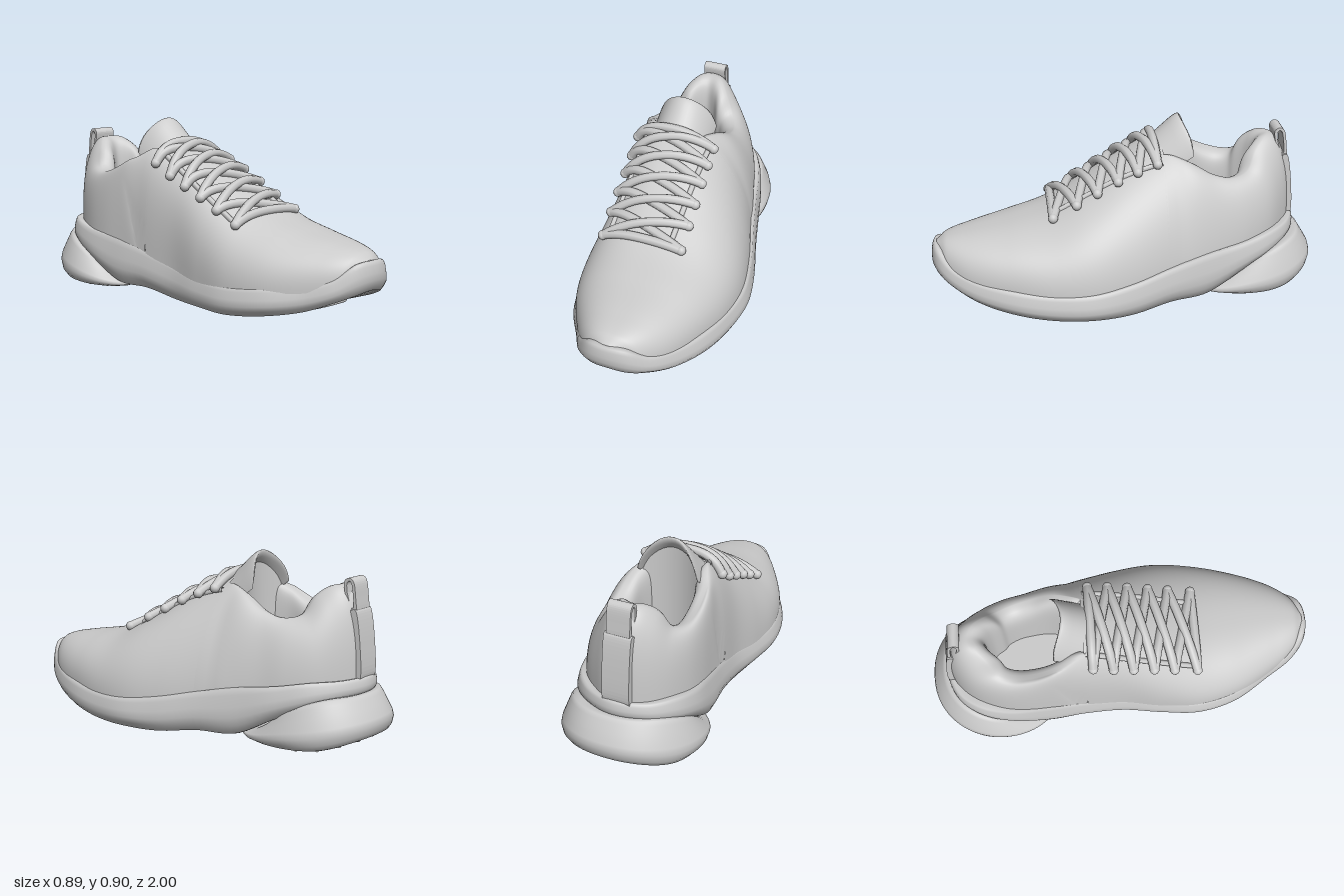
import * as THREE from 'three';
import { mergeVertices } from 'three/addons/utils/BufferGeometryUtils.js';

const material = new THREE.MeshStandardMaterial({ color: 0xcccccc, side: THREE.DoubleSide });
const V = (x, y, z) => new THREE.Vector3(x, y, z);
const { lerp, smoothstep, clamp } = THREE.MathUtils;

// Smooth interpolation through [key, value, value, ...] rows, keys ascending
function table(rows) {
  const slope = (i, c) => {
    const a = rows[Math.max(i - 1, 0)], b = rows[Math.min(i + 1, rows.length - 1)];
    return (b[c] - a[c]) / (b[0] - a[0]);
  };
  return (k, c = 1) => {
    k = clamp(k, rows[0][0], rows[rows.length - 1][0]);
    let i = 0;
    while (i < rows.length - 2 && k > rows[i + 1][0]) i++;
    const h = rows[i + 1][0] - rows[i][0], t = (k - rows[i][0]) / h, t2 = t * t, t3 = t2 * t;
    return (2 * t3 - 3 * t2 + 1) * rows[i][c] + (t3 - 2 * t2 + t) * h * slope(i, c)
      + (3 * t2 - 2 * t3) * rows[i + 1][c] + (t3 - t2) * h * slope(i + 1, c);
  };
}

// Smooth surface from a point function over u, v in 0..1
function grid(fn, nu, nv) {
  const pos = [], idx = [];
  for (let i = 0; i <= nu; i++) for (let j = 0; j <= nv; j++) pos.push(...fn(i / nu, j / nv).toArray());
  for (let i = 0; i < nu; i++) for (let j = 0; j < nv; j++) {
    const a = i * (nv + 1) + j, b = a + nv + 1;
    idx.push(a, b, a + 1, b, b + 1, a + 1);
  }
  let g = new THREE.BufferGeometry();
  g.setAttribute('position', new THREE.Float32BufferAttribute(pos, 3));
  g.setIndex(idx);
  g = mergeVertices(g, 1e-5);
  g.computeVertexNormals();
  return g;
}

// Upper sections by z: left, right, centre x, top, base, left and right roundness
const vamp = table([
  [-0.25, -0.345, 0.3, -0.1, 0.8, 0.17, 3.5, 1.85],
  [-0.2, -0.345, 0.318, -0.1, 0.79, 0.17, 3.5, 1.85],
  [0, -0.335, 0.38, -0.08, 0.695, 0.15, 3, 1.9],
  [0.2, -0.36, 0.415, -0.065, 0.575, 0.13, 2.6, 2.1],
  [0.4, -0.37, 0.4, -0.04, 0.465, 0.13, 2.4, 2.3],
  [0.6, -0.325, 0.345, 0, 0.41, 0.15, 2.4, 2.4],
  [0.8, -0.22, 0.26, 0.02, 0.375, 0.17, 2.4, 2.4],
  [0.92, -0.13, 0.165, 0.02, 0.347, 0.2, 2.4, 2.4],
  [0.965, -0.06, 0.09, 0.015, 0.315, 0.2, 2.4, 2.4]]);

function vampHeight(x, z) {
  const c = vamp(z, 3), left = x < c, n = vamp(z, left ? 6 : 7);
  const d = Math.min(Math.abs((x - c) / (vamp(z, left ? 1 : 2) - c)), 1);
  return vamp(z, 5) + (vamp(z, 4) - vamp(z, 5)) * (1 - d ** n) ** (1 / n);
}

const vampGeometry = () => grid((u, v) => {
  const z = lerp(-0.19, 0.972, 1 - (1 - u) ** 1.4);
  const c = vamp(z, 3), left = v < 0.5, e = 2 / vamp(z, left ? 6 : 7);
  const a = Math.PI * v, cs = Math.abs(Math.cos(a)) ** e, sn = Math.max(Math.sin(a), 0) ** e;
  const k = u === 1 ? 0.3 : 1;
  return V(c + (vamp(z, left ? 1 : 2) - c) * cs * k, lerp(vamp(z, 5), vamp(z, 4), sn * k), z);
}, 70, 56);

// Rear quarter: outer wall, rolled padded rim and inner lining, swept round the heel
function collarGeometry() {
  const base = new THREE.CatmullRomCurve3([
    [-0.343, 0.17, -0.18], [-0.358, 0.2, -0.35], [-0.368, 0.24, -0.5], [-0.355, 0.28, -0.62], [-0.31, 0.3, -0.74],
    [-0.25, 0.31, -0.82], [-0.18, 0.32, -0.87], [-0.12, 0.32, -0.88], [-0.05, 0.32, -0.87], [0.03, 0.31, -0.82],
    [0.12, 0.3, -0.74], [0.19, 0.28, -0.62], [0.23, 0.24, -0.5], [0.28, 0.2, -0.35], [0.322, 0.17, -0.18],
  ].map(p => V(...p)));
  const rim = new THREE.CatmullRomCurve3([
    [-0.24, 0.77, -0.18], [-0.3, 0.7, -0.32], [-0.31, 0.635, -0.44], [-0.3, 0.61, -0.54], [-0.275, 0.63, -0.62],
    [-0.235, 0.715, -0.665], [-0.18, 0.765, -0.72], [-0.12, 0.77, -0.745], [-0.06, 0.765, -0.72], [-0.005, 0.715, -0.665],
    [0.045, 0.63, -0.62], [0.085, 0.61, -0.54], [0.1, 0.635, -0.44], [0.09, 0.7, -0.32], [0.04, 0.75, -0.18],
  ].map(p => V(...p)));
  const round = table([[0, 2.7], [0.15, 3.2], [0.3, 2.9], [0.5, 2.4], [0.7, 2.2], [0.85, 1.75], [1, 1.45]]);
  return grid((u, v) => {
    const B = base.getPoint(u), R = rim.getPoint(u), t = 1 - v;
    const join = smoothstep(Math.abs(u - 0.5), 0.42, 0.5);
    R.y = lerp(R.y, vampHeight(R.x, R.z), join);
    if (t <= 0.6) {
      const a = t / 0.6 * Math.PI / 2, e = 2 / round(u);
      const c = Math.max(Math.cos(a), 0) ** e, s = Math.sin(a) ** e, x = lerp(R.x, B.x, c);
      return V(x, lerp(lerp(B.y, R.y, s), vampHeight(x, R.z), join), lerp(R.z, B.z, c));
    }
    const w = (t - 0.6) / 0.4;
    const dir = V(-0.11 - R.x, 0, -0.47 - R.z).normalize().multiplyScalar(0.075 * (1 - (1 - w) ** 6));
    return V(R.x + dir.x, lerp(R.y, 0.27, w ** 1.5), R.z + dir.z);
  }, 90, 50);
}

// Sole block: outline points [x, z, top, bottom]; rows [x scale, z scale, height] from bottom to top
function soleGeometry(outline, rows, spine, cz, n) {
  const edge = new THREE.CatmullRomCurve3(outline.map(p => V(p[0], p[2], p[1])), true);
  const low = new THREE.CatmullRomCurve3(outline.map(p => V(p[0], p[3], p[1])), true);
  return grid((u, v) => {
    const P = edge.getPoint(u % 1), y0 = low.getPoint(u % 1).y;
    const [kx, kz, t] = rows[Math.round(v * (rows.length - 1))], s = spine(P.z);
    return V(s + (P.x - s) * kx, lerp(y0, P.y, t), cz + (P.z - cz) * kz);
  }, n, rows.length - 1);
}

export function createModel() {
  const shoe = new THREE.Group();
  const add = (name, geometry, parent = shoe) => {
    const m = new THREE.Mesh(geometry, material);
    m.name = name;
    parent.add(m);
    return m;
  };
  const group = name => {
    const g = new THREE.Group();
    g.name = name;
    shoe.add(g);
    return g;
  };
  const tube = (name, pts, r, parent, closed = false, seg = 32) =>
    add(name, new THREE.TubeGeometry(new THREE.CatmullRomCurve3(pts, closed), seg, r, 8, closed), parent);

  add('vamp', vampGeometry());
  add('heelCollar', collarGeometry());

  // Midsole with raised toe bumper and heel wedge
  add('midsole', soleGeometry([
    [0.02, 0.997, 0.315, 0.17], [0.12, 0.978, 0.305, 0.155], [0.205, 0.905, 0.235, 0.12], [0.29, 0.78, 0.195, 0.07],
    [0.375, 0.6, 0.175, 0.035], [0.425, 0.4, 0.16, 0.014], [0.445, 0.2, 0.165, 0.012], [0.41, 0, 0.195, 0.014],
    [0.35, -0.2, 0.24, 0.04], [0.295, -0.4, 0.28, 0.045], [0.24, -0.6, 0.305, 0.14], [0.17, -0.75, 0.33, 0.2],
    [0.05, -0.86, 0.335, 0.235], [-0.11, -0.91, 0.34, 0.245], [-0.27, -0.86, 0.335, 0.235], [-0.36, -0.75, 0.33, 0.2],
    [-0.395, -0.6, 0.305, 0.14], [-0.385, -0.4, 0.28, 0.045], [-0.362, -0.2, 0.24, 0.04], [-0.35, 0, 0.195, 0.014],
    [-0.375, 0.2, 0.165, 0.012], [-0.39, 0.4, 0.16, 0.014], [-0.345, 0.6, 0.175, 0.035], [-0.24, 0.78, 0.195, 0.07],
    [-0.165, 0.905, 0.235, 0.12], [-0.08, 0.978, 0.305, 0.155],
  ], [[0, 0.93, 0], [0.5, 0.95, 0], [0.86, 0.965, 0], [0.91, 0.975, 0.02], [0.97, 0.99, 0.2], [1, 1, 0.38], [0.99, 1, 0.6],
    [0.965, 0.995, 0.85], [0.95, 0.988, 0.97], [0.92, 0.978, 1], [0.85, 0.96, 0.96], [0, 0.88, 0.85]],
  table([[-0.9, -0.11], [-0.6, -0.08], [-0.2, 0], [0.2, 0.03], [1, 0.02]]), 0, 140));

  // Flared heel pod beneath the wedge, blunter on its right front corner
  const pod = [];
  const podTop = table([[-1, 0.27], [-0.85, 0.255], [-0.65, 0.19], [-0.42, 0.075], [-0.3, 0.05]]);
  const podLow = table([[-1, 0.07], [-0.85, 0.025], [-0.7, 0.012], [-0.42, 0.012], [-0.3, 0.03]]);
  for (let i = 0; i < 24; i++) {
    const a = i / 24 * Math.PI * 2, s = Math.sin(a), z = -0.65 + 0.35 * Math.cos(a);
    pod.push([-0.09 + 0.355 * Math.sign(s) * Math.abs(s) ** (a < Math.PI / 2 ? 0.6 : 0.9), z, podTop(z), podLow(z)]);
  }
  add('heelPod', soleGeometry(pod, [[0, 0.9, 0], [0.5, 0.9, 0], [0.86, 0.9, 0], [0.92, 0.94, 0.03], [0.98, 0.98, 0.15],
    [1, 1, 0.32], [0.98, 0.98, 0.46], [0.92, 0.9, 0.7], [0.87, 0.83, 0.9], [0.84, 0.79, 0.98], [0.78, 0.74, 1], [0, 0.6, 0.9]],
  () => -0.09, -0.65, 80));

  // Insole
  const insole = add('insole', new THREE.CylinderGeometry(1, 1, 0.02, 40));
  insole.scale.set(0.22, 1, 0.4);
  insole.position.set(-0.1, 0.3, -0.42);

  // Padded tongue, arched across with drooping sides, and its lining down to the insole
  const droop = c => 0.24 * (1 - Math.sqrt(1 - (0.95 * c) ** 2));
  add('tongue', grid((u, v) => {
    const a = v * Math.PI * 2, c = Math.cos(a);
    const thick = 0.028 * Math.sqrt(Math.max(1 - (Math.max(0, u - 0.7) / 0.3) ** 2, 0));
    return V(-0.1 + 0.16 * c, 0.715 + 0.175 * u - droop(c) + thick * Math.sin(a), -0.1 - (0.19 + 0.07 * c * c - 0.02 * c ** 8) * u);
  }, 30, 48));
  add('tongueLining', grid((u, v) => {
    const c = lerp(-1, 1, u);
    return V(-0.1 + 0.16 * c, lerp(0.3, 0.84 - droop(c), v), -0.255 - 0.05 * c * c);
  }, 24, 12));

  // Throat edges and laces follow the vamp surface
  const laces = group('laces');
  const zs = [0.38, 0.26, 0.155, 0.05, -0.05, -0.15];
  const lace = (z0, z1, lift) => {
    const pts = [];
    for (let i = 0; i <= 12; i++) {
      const t = i / 12, z = lerp(z0, z1, t), c = lerp(-0.095, -0.06, (z + 0.15) / 0.53);
      const x = c + lerp(-0.21, 0.21, t), out = Math.sin(Math.PI * t);
      pts.push(V(x, lerp(vampHeight(x, z), vampHeight(c, z), 0.35) + 0.008 + lift * out, z));
    }
    tube('lace', pts, 0.023, laces);
    for (const end of [pts[0], pts[12]]) add('laceEnd', new THREE.SphereGeometry(0.025, 12, 8), laces).position.copy(end);
  };
  lace(zs[0], zs[0], 0);
  for (let i = 0; i < 5; i++) {
    lace(zs[i], zs[i + 1], 0.022);
    lace(zs[i + 1], zs[i], 0);
  }
  lace(zs[5], zs[5], 0.01);
  for (const side of [-1, 1]) {
    tube('throatEdge', [0.36, 0.2, 0.05, -0.08, -0.18].map(z => {
      const x = -0.08 + side * 0.165;
      return V(x, vampHeight(x, z), z);
    }), 0.014, shoe);
  }

  // Heel pull loop and backing strip, drawn in side profile
  const spline = pts => new THREE.SplineCurve([...pts, pts[0]].map(p => new THREE.Vector2(...p))).getPoints(50);
  const profile = (name, outer, holes, width) => {
    const shape = new THREE.Shape(spline(outer));
    shape.holes = holes.map(h => new THREE.Path(spline(h)));
    const m = add(name, new THREE.ExtrudeGeometry(shape, { depth: width, bevelEnabled: false }));
    m.rotation.y = Math.PI / 2;
    m.position.x = -0.12 - width / 2;
  };
  profile('pullLoop', [[0.79, 0.74], [0.785, 0.79], [0.81, 0.81], [0.838, 0.79], [0.85, 0.72], [0.855, 0.64], [0.825, 0.62], [0.808, 0.67]],
    [[[0.803, 0.74], [0.8, 0.78], [0.812, 0.795], [0.826, 0.78], [0.836, 0.72], [0.838, 0.67], [0.822, 0.68]]], 0.12);
  profile('heelStrip', [[0.83, 0.66], [0.862, 0.65], [0.886, 0.5], [0.893, 0.34], [0.85, 0.33], [0.845, 0.5]], [], 0.14);

  // Outsole tread: nested forefoot loops with cross bars, heel rings with radial bars
  const tread = group('tread');
  const foreLow = table([[-0.2, 0.04], [0, 0.014], [0.2, 0.012], [0.4, 0.014], [0.6, 0.035], [0.78, 0.07], [0.91, 0.12]]);
  const forePoint = (x, z) => V(x, foreLow(z * 1.05) + 0.003, z);
  for (const k of [0.35, 0.65, 1]) {
    const pts = [];
    for (let i = 0; i < 24; i++) {
      const a = i / 24 * Math.PI * 2;
      pts.push(forePoint(0.02 + 0.25 * k * Math.sin(a), 0.37 + 0.4 * k * Math.cos(a)));
    }
    tube('forefootLoop', pts, 0.012, tread, true, 64);
  }
  for (let z = 0.08; z < 0.72; z += 0.1) {
    const w = 0.3 - Math.max(0, z - 0.35) * 0.3;
    for (const s of [-1, 1]) {
      tube('forefootBar', [0.35, 0.7, 1].map(k => forePoint(0.02 + s * w * k, z - 0.05 * k)), 0.011, tread, false, 8);
    }
  }
  const heelPoint = (r, a) => {
    const dz = r * Math.cos(a);
    return V(-0.09 + r * Math.sin(a), podLow(-0.65 + dz * 1.12) + 0.003, -0.65 + dz);
  };
  for (const r of [0.07, 0.16]) {
    tube('heelRing', Array.from({ length: 20 }, (_, i) => heelPoint(r, i / 10 * Math.PI)), 0.012, tread, true, 48);
  }
  for (let i = 0; i < 18; i++) {
    const a = i / 9 * Math.PI;
    tube('heelBar', [0.19, 0.24, 0.3].map(r => heelPoint(r, a)), 0.011, tread, false, 6);
  }
  return shoe;
}
